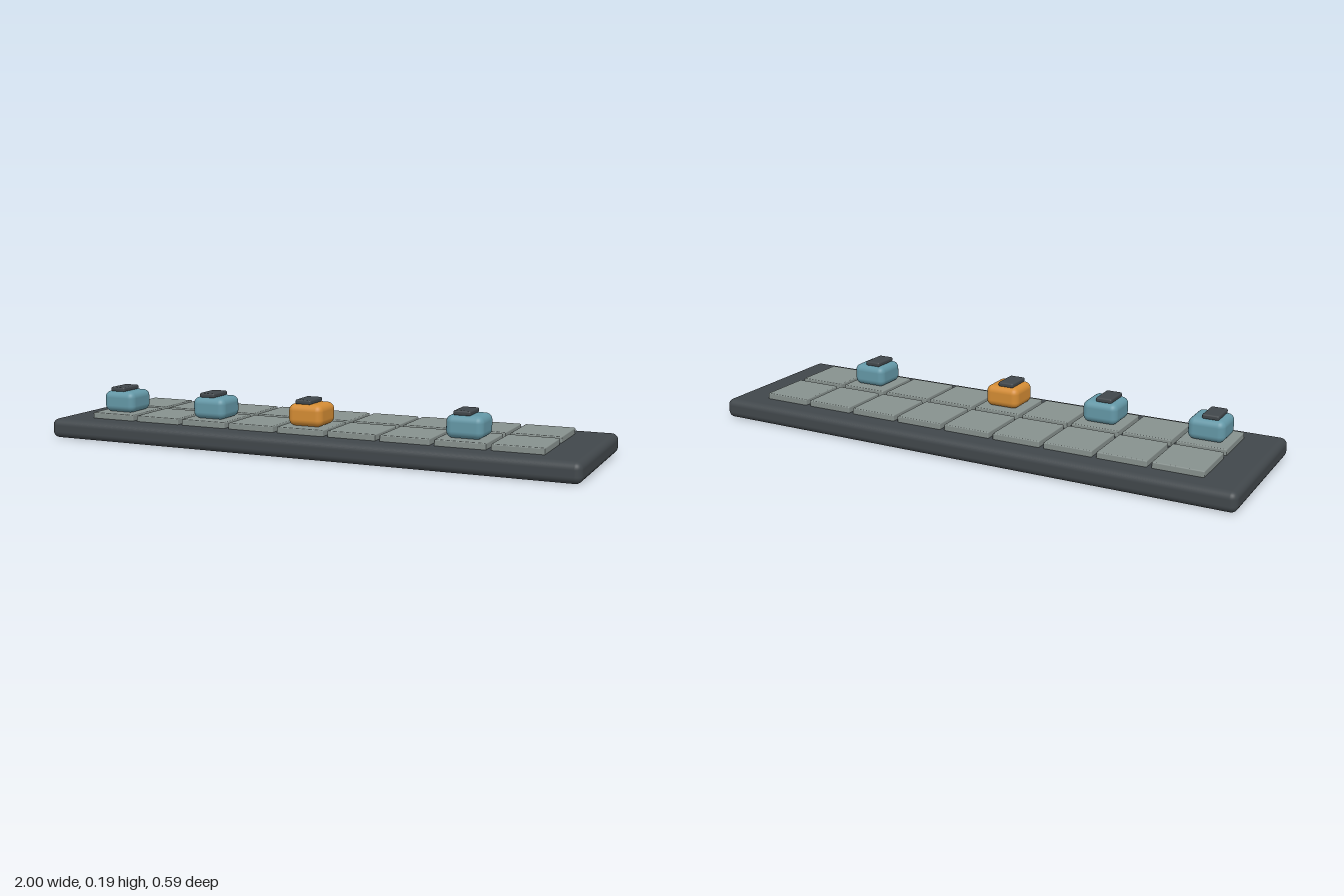
import * as THREE from 'three';
import { RoundedBoxGeometry } from 'three/addons/geometries/RoundedBoxGeometry.js';

const mat = (name, color) => {
  const m = new THREE.MeshStandardMaterial({ color });
  m.name = name;
  return m;
};

export function createModel() {
  const charcoal = mat('charcoal', 0x41474b);
  const grey = mat('stone grey', 0x87918e);
  const blue = mat('dusty blue', 0x6498a7);
  const orange = mat('amber', 0xd48c34);
  const steel = mat('steel', 0x5a626a);

  const model = new THREE.Group();
  model.name = 'trayBoard';

  const add = (parent, name, geometry, material, x, y, z) => {
    const mesh = new THREE.Mesh(geometry, material);
    mesh.name = name;
    mesh.position.set(x, y, z);
    parent.add(mesh);
    return mesh;
  };

  // Rounded base slab
  add(model, 'base', new RoundedBoxGeometry(2, 0.071, 0.592, 4, 0.024), charcoal, 0, 0.0355, 0);

  // Two rows of nine tiles, with a short hinge pin between each pair
  const columns = 9;
  const pitch = 0.194;
  const columnX = (i) => (i - (columns - 1) / 2) * pitch - 0.002;
  const tileGeo = new RoundedBoxGeometry(0.178, 0.024, 0.2, 2, 0.004);
  const pinGeo = new THREE.CylinderGeometry(0.0035, 0.0035, 0.062, 12).rotateZ(Math.PI / 2);
  for (let i = 0; i < columns; i++) {
    for (const side of [-1, 1]) {
      add(model, side > 0 ? 'frontTile' : 'backTile', tileGeo, grey, columnX(i), 0.081, side * 0.112);
    }
    add(model, 'hingePin', pinGeo, steel, columnX(i), 0.081, 0);
  }

  // Rounded blocks with offset caps, standing on the front row
  const blockGeo = new RoundedBoxGeometry(0.131, 0.078, 0.131, 4, 0.024);
  const capGeo = new RoundedBoxGeometry(0.06, 0.017, 0.1, 3, 0.006);
  for (const [column, material] of [[0, blue], [2, blue], [4, orange], [7, blue]]) {
    const piece = new THREE.Group();
    piece.name = 'piece';
    piece.position.set(columnX(column), 0.093, 0.112);
    add(piece, 'block', blockGeo, material, 0, 0.039, 0);
    add(piece, 'cap', capGeo, charcoal, -0.011, 0.0845, 0);
    model.add(piece);
  }

  return model;
}
